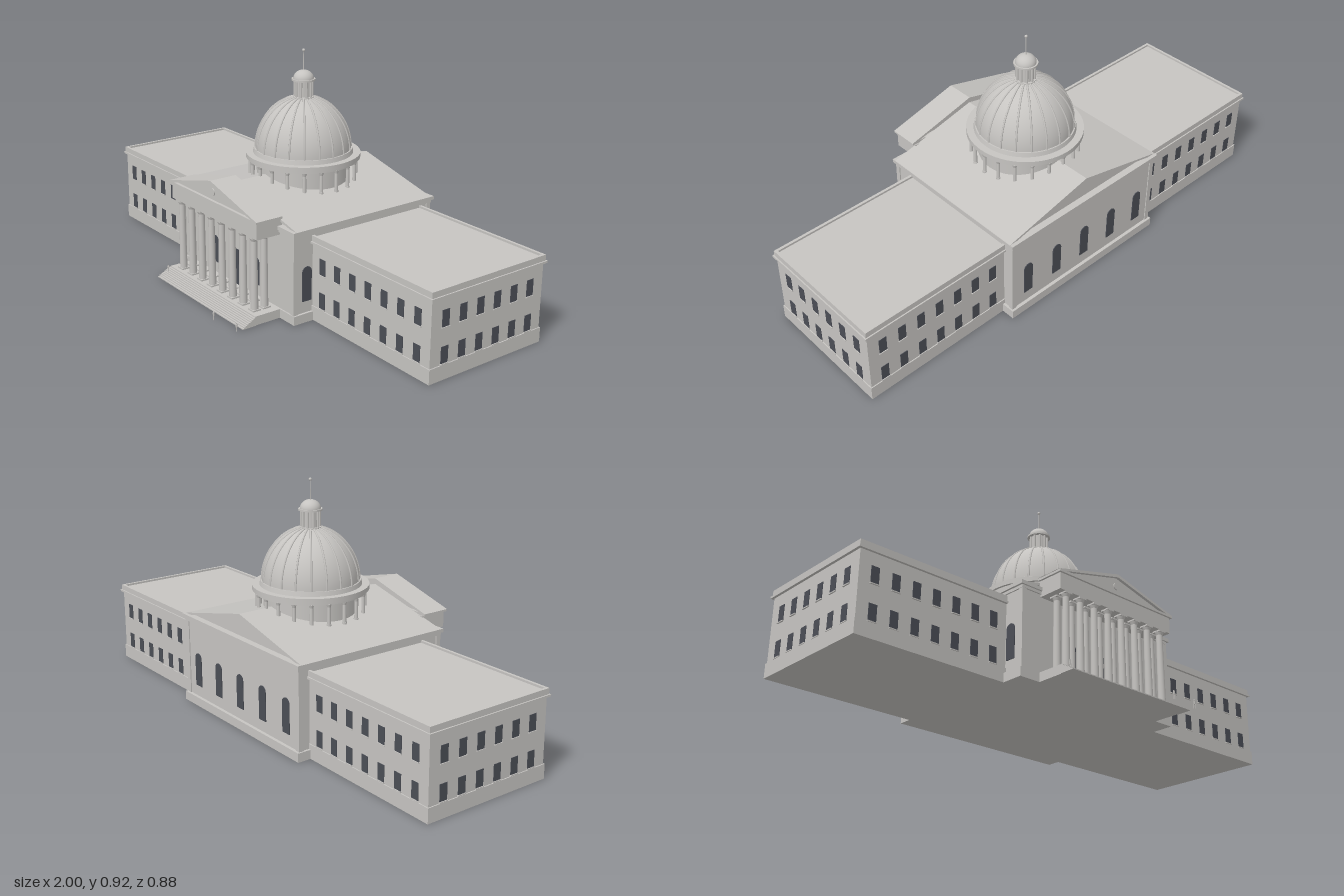
import * as THREE from 'three';

const stone = new THREE.MeshStandardMaterial({ color: 0xc6c4c1 });
stone.name = 'stone';
const glass = new THREE.MeshStandardMaterial({ color: 0x4b4e56 });
glass.name = 'dark glass';

export function createModel() {
  const model = new THREE.Group();
  model.name = 'domedBuilding';

  const section = (name) => {
    const g = new THREE.Group();
    g.name = name;
    model.add(g);
    return g;
  };
  const add = (parent, name, geo, x = 0, y = 0, z = 0, mat = stone) => {
    const m = new THREE.Mesh(geo, mat);
    m.name = name;
    m.position.set(x, y, z);
    parent.add(m);
    return m;
  };
  // box given by its limits on each axis
  const box = (parent, name, x0, x1, y0, y1, z0, z1, mat = stone) =>
    add(parent, name, new THREE.BoxGeometry(x1 - x0, y1 - y0, z1 - z0),
      (x0 + x1) / 2, (y0 + y1) / 2, (z0 + z1) / 2, mat);
  // upright round part between two heights
  const round = (parent, name, rBottom, rTop, y0, y1, x, z, sides = 48) =>
    add(parent, name, new THREE.CylinderGeometry(rTop, rBottom, y1 - y0, sides), x, (y0 + y1) / 2, z);
  // outline in x,y pulled along z
  const prism = (parent, name, pts, z0, z1) => {
    const shape = new THREE.Shape(pts.map(([x, y]) => new THREE.Vector2(x, y)));
    return add(parent, name, new THREE.ExtrudeGeometry(shape, { depth: z1 - z0, bevelEnabled: false }), 0, 0, z0);
  };
  // solid gable plus an overhanging roof slab
  const gable = (parent, half, eave, peak, slab, z0, z1, inset) => {
    prism(parent, 'tympanum', [[-half, eave], [half, eave], [0, peak - slab / 2]], z0 + inset, z1 - inset);
    prism(parent, 'roof', [[-half, eave], [-half + slab * 3, eave], [0, peak - slab],
      [half - slab * 3, eave], [half, eave], [0, peak]], z0, z1);
  };
  // arched opening facing +z before turning
  const arch = (parent, w, y0, y1, x, z, turn) => {
    const r = w / 2, s = new THREE.Shape();
    s.moveTo(-r, y0);
    s.lineTo(r, y0);
    s.lineTo(r, y1 - r);
    s.absarc(0, y1 - r, r, 0, Math.PI, false);
    const m = add(parent, 'archedWindow', new THREE.ExtrudeGeometry(s,
      { depth: 0.003, bevelEnabled: false, curveSegments: 10 }), x, 0, z, glass);
    m.rotation.y = turn;
  };

  // Wings, mirrored left and right
  for (const side of [1, -1]) {
    const wing = section(side > 0 ? 'leftWing' : 'rightWing');
    const span = (name, a, b, y0, y1, z0, z1, mat) =>
      box(wing, name, Math.min(a * side, b * side), Math.max(a * side, b * side), y0, y1, z0, z1, mat);
    span('wall', 0.3, 0.99, 0.05, 0.322, -0.385, 0.14);
    span('plinth', 0.3, 0.994, 0, 0.055, -0.389, 0.144);
    span('cornice', 0.3, 1, 0.3, 0.308, -0.395, 0.15);
    span('frontParapet', 0.3, 0.995, 0.308, 0.33, 0.134, 0.145);
    span('backParapet', 0.3, 0.995, 0.308, 0.33, -0.39, -0.379);
    span('endParapet', 0.984, 0.995, 0.308, 0.33, -0.379, 0.134);
    for (const [y0, y1] of [[0.06, 0.121], [0.192, 0.253]]) {
      for (let i = 0; i < 7; i++) {
        const x = 0.43 + i * 0.083;
        span('frontWindow', x - 0.016, x + 0.016, y0, y1, 0.138, 0.142, glass);
        span('frontSill', x - 0.018, x + 0.018, y0 - 0.004, y0, 0.138, 0.145);
        span('backWindow', x - 0.016, x + 0.016, y0, y1, -0.387, -0.383, glass);
        span('backSill', x - 0.018, x + 0.018, y0 - 0.004, y0, -0.39, -0.383);
      }
      for (let i = 0; i < 6; i++) {
        const z = 0.076 - i * 0.0797;
        span('endWindow', 0.988, 0.992, y0, y1, z - 0.016, z + 0.016, glass);
        span('endSill', 0.988, 0.995, y0 - 0.004, y0, z - 0.018, z + 0.018);
      }
    }
  }

  // Central block
  const hall = section('centralBlock');
  box(hall, 'wall', -0.372, 0.372, 0.03, 0.35, -0.43, 0.225);
  box(hall, 'plinth', -0.382, 0.382, 0, 0.035, -0.443, 0.231);
  box(hall, 'lowerCornice', -0.377, 0.377, 0.335, 0.346, -0.437, 0.23);
  box(hall, 'upperCornice', -0.385, 0.385, 0.346, 0.36, -0.443, 0.236);
  gable(hall, 0.383, 0.36, 0.45, 0.012, -0.428, 0.222, 0.012);
  for (const x of [-0.366, 0.366]) for (const z of [-0.424, 0.219])
    box(hall, 'cornerPilaster', x - 0.01, x + 0.01, 0.035, 0.335, z - 0.01, z + 0.01);
  for (let i = -2; i <= 2; i++) arch(hall, 0.042, 0.08, 0.215, i * 0.147, -0.43, Math.PI);
  for (const s of [-1, 1]) {
    arch(hall, 0.042, 0.08, 0.215, s * 0.372, 0.167, s * Math.PI / 2);
    arch(hall, 0.042, 0.08, 0.19, s * 0.137, 0.225, 0);
  }
  box(hall, 'door', -0.025, 0.025, 0.035, 0.18, 0.224, 0.228, glass);

  // Portico with steps, two rows of columns and a pediment
  const portico = section('portico');
  box(portico, 'floor', -0.295, 0.295, 0, 0.035, 0.22, 0.342);
  const steps = 8;
  for (let i = 0; i < steps; i++)
    box(portico, 'step', -0.298, 0.298, 0, 0.035 * (steps - i) / (steps + 1), 0.34, 0.35 + i * 0.007);
  for (const z of [0.31, 0.265]) for (let i = 0; i < 8; i++) {
    const x = -0.245 + i * 0.07;
    box(portico, 'columnBase', x - 0.017, x + 0.017, 0.035, 0.041, z - 0.017, z + 0.017);
    round(portico, 'columnShaft', 0.0145, 0.012, 0.04, 0.312, x, z, 20);
    round(portico, 'columnCapital', 0.012, 0.017, 0.308, 0.32, x, z, 20);
    box(portico, 'columnCap', x - 0.017, x + 0.017, 0.319, 0.326, z - 0.017, z + 0.017);
  }
  box(portico, 'entablature', -0.287, 0.287, 0.325, 0.388, 0.215, 0.327);
  box(portico, 'cornice', -0.295, 0.295, 0.388, 0.397, 0.22, 0.335);
  gable(portico, 0.297, 0.397, 0.474, 0.012, 0.22, 0.335, 0.012);
  const medallion = add(portico, 'medallion', new THREE.CylinderGeometry(0.014, 0.014, 0.006, 20), 0, 0.428, 0.324);
  medallion.rotation.x = Math.PI / 2;

  // Drum with a ring of columns
  const dome = section('dome');
  const cz = -0.1, count = 20;
  round(dome, 'drum', 0.182, 0.182, 0.36, 0.5, 0, cz, 64);
  round(dome, 'drumEntablature', 0.215, 0.215, 0.485, 0.496, 0, cz, 64);
  round(dome, 'drumCornice', 0.224, 0.224, 0.494, 0.513, 0, cz, 64);
  round(dome, 'domeBase', 0.196, 0.192, 0.513, 0.53, 0, cz, 64);
  for (let i = 0; i < count; i++) {
    const a = i / count * Math.PI * 2, x = Math.sin(a) * 0.207, z = cz + Math.cos(a) * 0.207;
    round(dome, 'drumColumn', 0.0075, 0.0065, 0.38, 0.476, x, z, 12);
    round(dome, 'drumCapital', 0.0065, 0.01, 0.474, 0.486, x, z, 12);
    round(dome, 'drumColumnBase', 0.009, 0.009, 0.38, 0.408, x, z, 12);
  }

  // Ribbed shell
  const profile = [];
  for (let i = 0; i <= 20; i++) {
    const t = i / 20 * 1.37;
    profile.push(new THREE.Vector2(Math.cos(t) * 0.187, 0.525 + Math.sin(t) * 0.208));
  }
  add(dome, 'shell', new THREE.LatheGeometry(profile, 64), 0, 0, cz);
  const ribCurve = new THREE.CatmullRomCurve3(profile.map((p) => new THREE.Vector3(p.x, p.y, 0)));
  const ribGeo = new THREE.TubeGeometry(ribCurve, 24, 0.004, 6);
  for (let i = 0; i < count; i++)
    add(dome, 'rib', ribGeo, 0, 0, cz).rotation.y = i / count * Math.PI * 2;

  // Lantern and finial
  const lantern = section('lantern');
  round(lantern, 'lanternBase', 0.041, 0.041, 0.724, 0.733, 0, cz, 32);
  round(lantern, 'lanternDrum', 0.032, 0.032, 0.73, 0.797, 0, cz, 32);
  for (let i = 0; i < 10; i++) {
    const a = i / 10 * Math.PI * 2;
    round(lantern, 'lanternColumn', 0.005, 0.005, 0.732, 0.797, Math.sin(a) * 0.034, cz + Math.cos(a) * 0.034, 8);
  }
  round(lantern, 'lanternCornice', 0.046, 0.046, 0.795, 0.802, 0, cz, 32);
  const cap = add(lantern, 'lanternCap', new THREE.SphereGeometry(0.04, 32, 10, 0, Math.PI * 2, 0, Math.PI / 2), 0, 0.801, cz);
  cap.scale.y = 0.87;
  round(lantern, 'finialPole', 0.002, 0.0015, 0.83, 0.91, 0, cz, 8);
  add(lantern, 'finialBall', new THREE.SphereGeometry(0.006, 12, 8), 0, 0.912, cz);

  // Tiny visitors
  for (const [x, y, z] of [[0.165, 0, 0.437], [0.293, 0, 0.423], [-0.277, 0.016, 0.363]]) {
    const visitor = section('visitor');
    visitor.position.set(x, y, z);
    for (const s of [-1, 1]) round(visitor, 'leg', 0.0013, 0.0018, 0, 0.017, s * 0.002, s * 0.002, 6);
    round(visitor, 'torso', 0.003, 0.0038, 0.016, 0.029, 0, 0, 8);
    add(visitor, 'head', new THREE.SphereGeometry(0.0027, 8, 6), 0, 0.032, 0);
  }
  return model;
}
